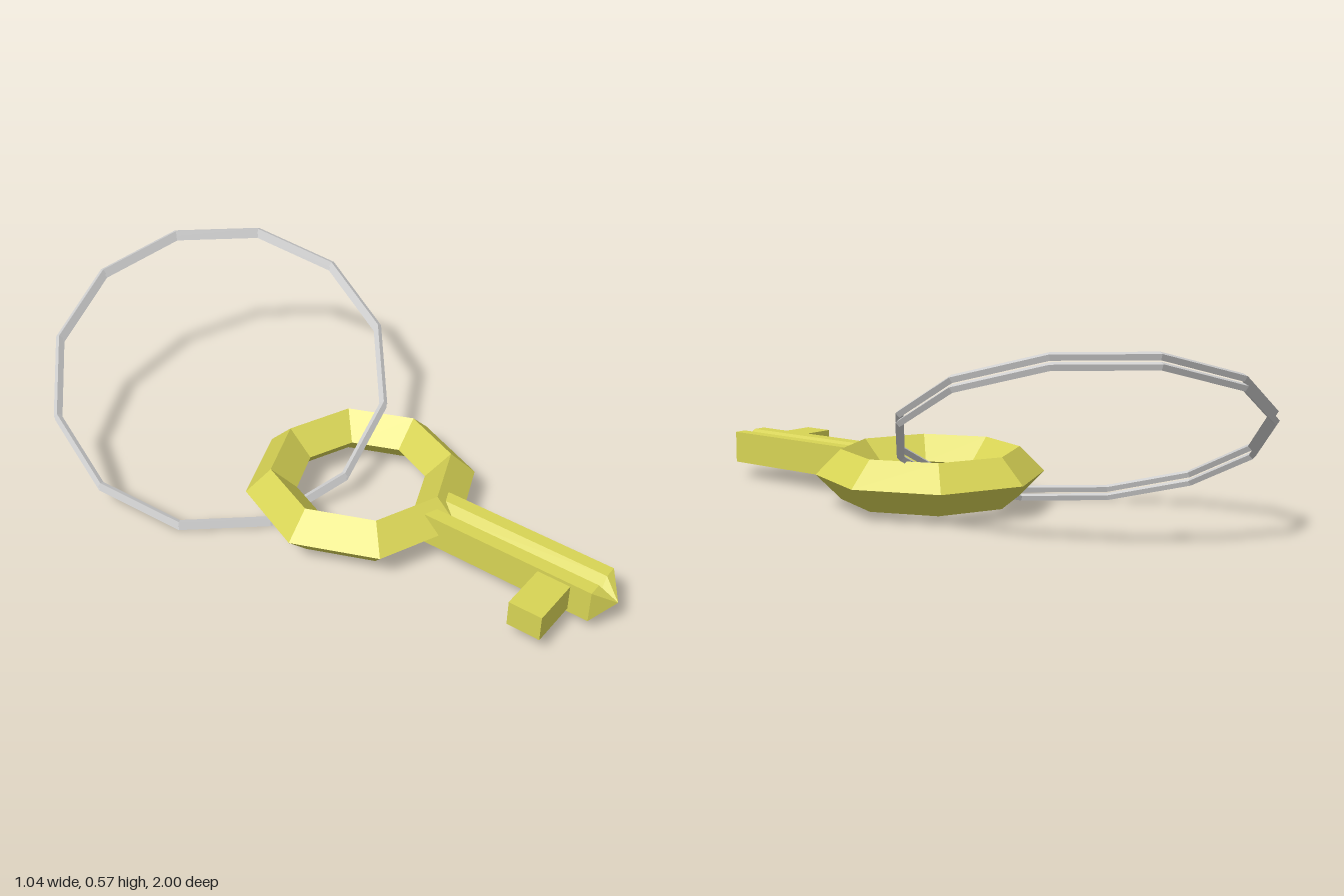
import * as THREE from 'three';

const gold = new THREE.MeshStandardMaterial({ color: 0xd8d455 });
gold.name = 'yellow gold';
gold.flatShading = true;
const steel = new THREE.MeshStandardMaterial({ color: 0xd0d0d0 });
steel.name = 'light steel';
steel.flatShading = true;

function add(parent, name, geometry, material) {
  const mesh = new THREE.Mesh(geometry, material);
  mesh.name = name;
  parent.add(mesh);
  return mesh;
}

// Fan of triangles from a counter-clockwise profile at depth z to an apex
function pointedTip(profile, z, apex) {
  const pos = [];
  profile.forEach(([x, y], i) => {
    const [nx, ny] = profile[(i + 1) % profile.length];
    pos.push(x, y, z, nx, ny, z, ...apex);
  });
  const g = new THREE.BufferGeometry();
  g.setAttribute('position', new THREE.Float32BufferAttribute(pos, 3));
  g.computeVertexNormals();
  return g;
}

export function createModel() {
  const model = new THREE.Group();
  model.name = 'keyOnRing';
  const cx = -0.005;

  const key = new THREE.Group();
  key.name = 'key';
  model.add(key);

  // Octagonal handle with a diamond section
  const bow = add(key, 'bow', new THREE.TorusGeometry(0.283, 0.08, 4, 8).rotateX(Math.PI / 2), gold);
  bow.position.set(cx, 0.11, 0.102);

  // Square shaft with a V groove along the top, and its point
  const profile = [
    [-0.071, 0.059], [0.06, 0.059], [0.06, 0.165], [0.019, 0.165],
    [cx, 0.132], [-0.028, 0.165], [-0.071, 0.165],
  ];
  const start = 0.385, end = 0.945;
  const shape = new THREE.Shape(profile.map(([x, y]) => new THREE.Vector2(x, y)));
  const shaft = new THREE.ExtrudeGeometry(shape, { depth: end - start, bevelEnabled: false });
  add(key, 'shaft', shaft.translate(0, 0, start), gold);
  add(key, 'shaftTip', pointedTip(profile, end, [cx, 0.112, 1]), gold);

  // Single tooth
  const bit = add(key, 'bit', new THREE.BoxGeometry(0.168, 0.084, 0.106), gold);
  bit.position.set(-0.144, 0.112, 0.826);

  // Tilted split ring made of two twelve-sided coils
  const u = new THREE.Vector3(0.503, 0.19, 0.071).normalize();
  const n = u.clone().cross(new THREE.Vector3(0, 0.19, -0.505)).normalize();
  const v = n.clone().cross(u);
  const ring = new THREE.Group();
  ring.name = 'splitRing';
  ring.quaternion.setFromRotationMatrix(new THREE.Matrix4().makeBasis(u, v, n));
  ring.position.set(-0.002, 0.287, -0.473);
  model.add(ring);
  for (const [name, side] of [['upperCoil', 1], ['lowerCoil', -1]]) {
    add(ring, name, new THREE.TorusGeometry(0.542, 0.012, 4, 12), steel).position.z = side * 0.014;
  }

  return model;
}
